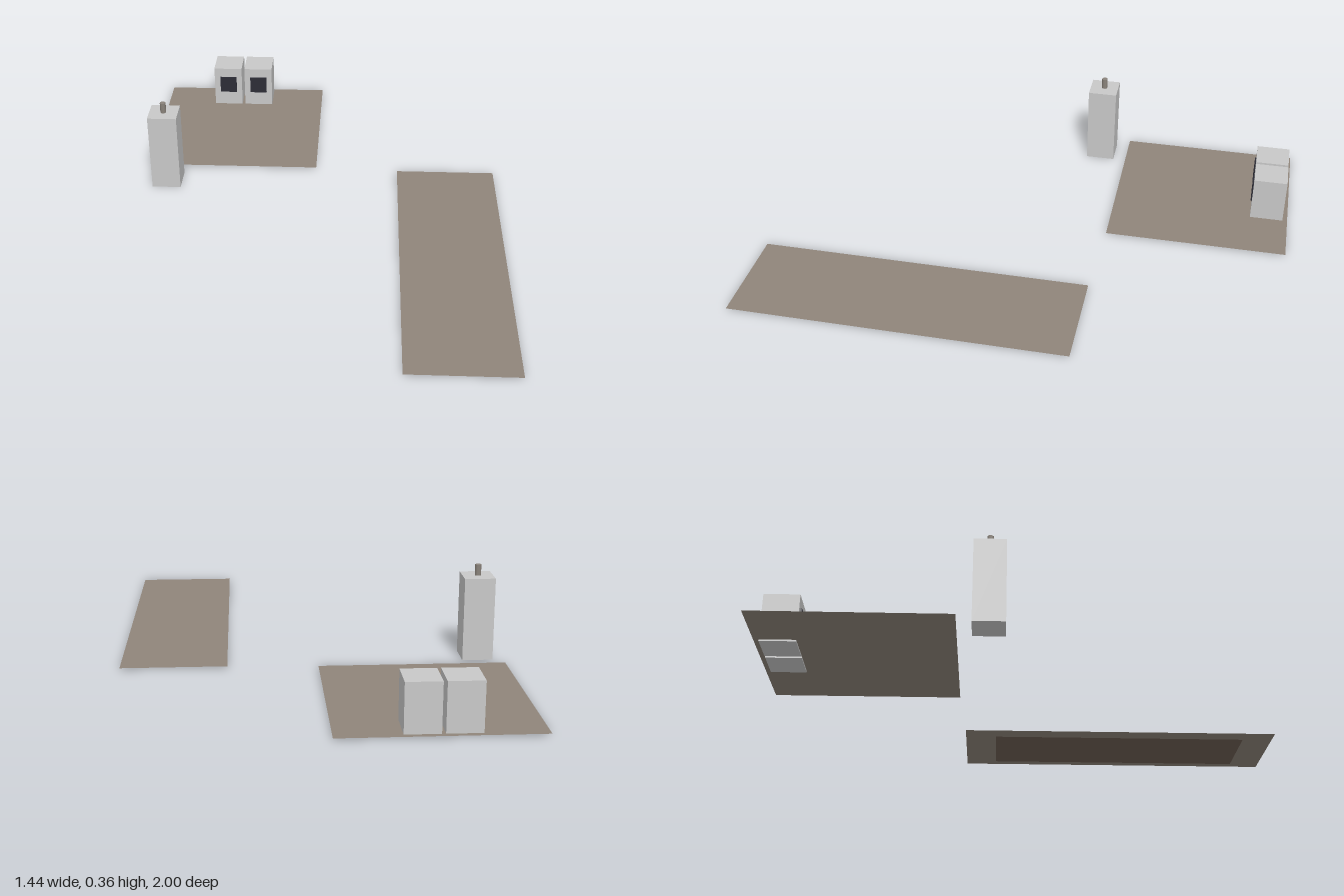
import * as THREE from 'three';

const material = (name, color, side = THREE.FrontSide) => {
  const m = new THREE.MeshStandardMaterial({ color, side });
  m.name = name;
  return m;
};

export function createModel() {
  const model = new THREE.Group();
  model.name = 'yard';
  const paleGrey = material('paleGrey', 0xc8c8c8);
  const earth = material('earth', 0x8f857a, THREE.DoubleSide);
  const darkEarth = material('darkEarth', 0x6f6054);
  const windowDark = material('windowDark', 0x2c2c36);
  const postGrey = material('postGrey', 0x8a837b);

  const add = (name, geometry, mat, x, y, z, parent = model) => {
    const mesh = new THREE.Mesh(geometry, mat);
    mesh.name = name;
    mesh.position.set(x, y, z);
    parent.add(mesh);
    return mesh;
  };

  // Flat ground patches
  const patch = (name, w, d, x, z) =>
    add(name, new THREE.PlaneGeometry(w, d).rotateX(-Math.PI / 2), earth, x, 0.006, z);
  patch('squarePatch', 0.705, 0.705, -0.3725, -0.6475);
  patch('longPatch', 0.4, 1.28, 0.52, 0.36);

  // Shallow bed under the long patch, tapering inward at the top
  const bed = new THREE.BoxGeometry(0.296, 0.005, 1.03);
  const p = bed.attributes.position;
  for (let i = 0; i < p.count; i++) {
    if (p.getY(i) > 0) {
      p.setX(i, p.getX(i) - Math.sign(p.getX(i)) * 0.016);
      p.setZ(i, p.getZ(i) - Math.sign(p.getZ(i)) * 0.016);
    }
  }
  bed.computeVertexNormals();
  add('bed', bed, darkEarth, 0.522, 0.0025, 0.36);

  // Pair of cabinets, each with a dark front window
  for (const x of [-0.447, -0.31]) {
    const cabinet = new THREE.Group();
    cabinet.name = 'cabinet';
    cabinet.position.set(x, 0, -0.916);
    add('cabinetBody', new THREE.BoxGeometry(0.124, 0.184, 0.13), paleGrey, 0, 0.092, 0, cabinet);
    add('cabinetWindow', new THREE.BoxGeometry(0.074, 0.074, 0.006), windowDark, 0.001, 0.106, 0.067, cabinet);
    model.add(cabinet);
  }

  // Tall pillar with a small post on top
  add('pillar', new THREE.BoxGeometry(0.116, 0.319, 0.116), paleGrey, -0.63, 0.1595, -0.184);
  add('pillarPost', new THREE.CylinderGeometry(0.012, 0.012, 0.042, 8).rotateY(Math.PI / 8),
    postGrey, -0.631, 0.34, -0.184);

  return model;
}
